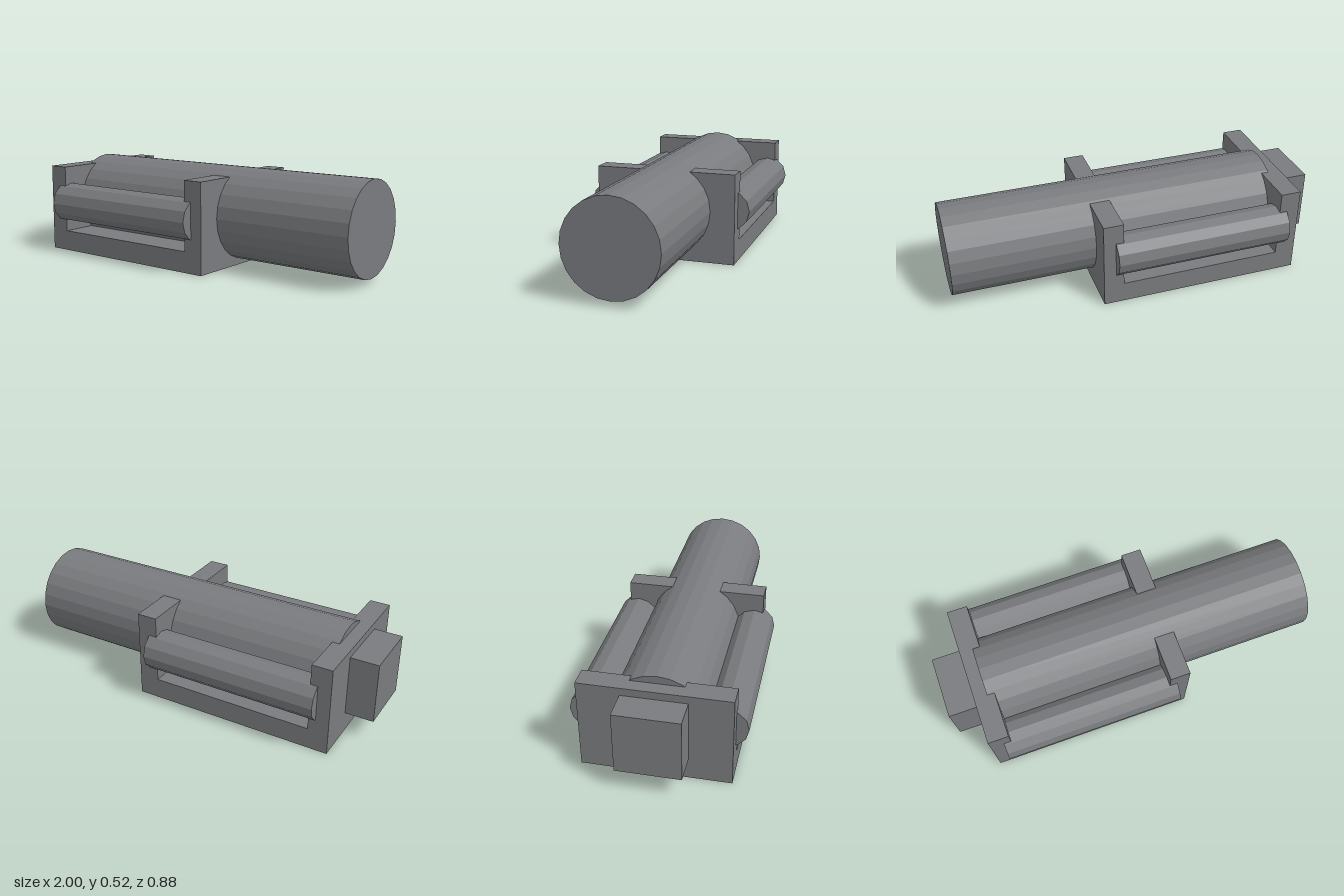
import * as THREE from 'three';

export function createModel() {
  const group = new THREE.Group();
  const material = new THREE.MeshStandardMaterial({ color: 0x797b7e, flatShading: true });

  const add = (name, geometry) => {
    const mesh = new THREE.Mesh(geometry, material);
    mesh.name = name;
    group.add(mesh);
    return mesh;
  };

  // Faceted rod lying along x, from x0 to x1
  const rod = (name, radius, sides, x0, x1, z) => {
    const geometry = new THREE.CylinderGeometry(radius, radius, x1 - x0, sides);
    geometry.rotateZ(-Math.PI / 2);
    add(name, geometry).position.set((x0 + x1) / 2, 0.275, z);
  };

  // U-shaped cradle: floor with an upright wall at each end
  const profile = new THREE.Shape([
    [-0.85, 0], [0.243, 0], [0.243, 0.48], [0.135, 0.48],
    [0.135, 0.112], [-0.741, 0.112], [-0.741, 0.48], [-0.85, 0.48],
  ].map(([x, y]) => new THREE.Vector2(x, y)));
  const cradle = new THREE.ExtrudeGeometry(profile, { depth: 0.752, bevelEnabled: false });
  cradle.translate(0, 0, -0.376);
  add('cradle', cradle);

  // Main cylinder passing through the front wall
  rod('mainCylinder', 0.246, 24, -0.78, 1, 0);

  // Slimmer cylinders along both sides
  for (const side of [1, -1]) {
    rod(side > 0 ? 'frontSideCylinder' : 'backSideCylinder', 0.109, 12, -0.78, 0.178, side * 0.329);
  }

  // Block on the outside of the end wall
  add('endBlock', new THREE.BoxGeometry(0.15, 0.326, 0.326)).position.set(-0.925, 0.277, 0);

  return group;
}
